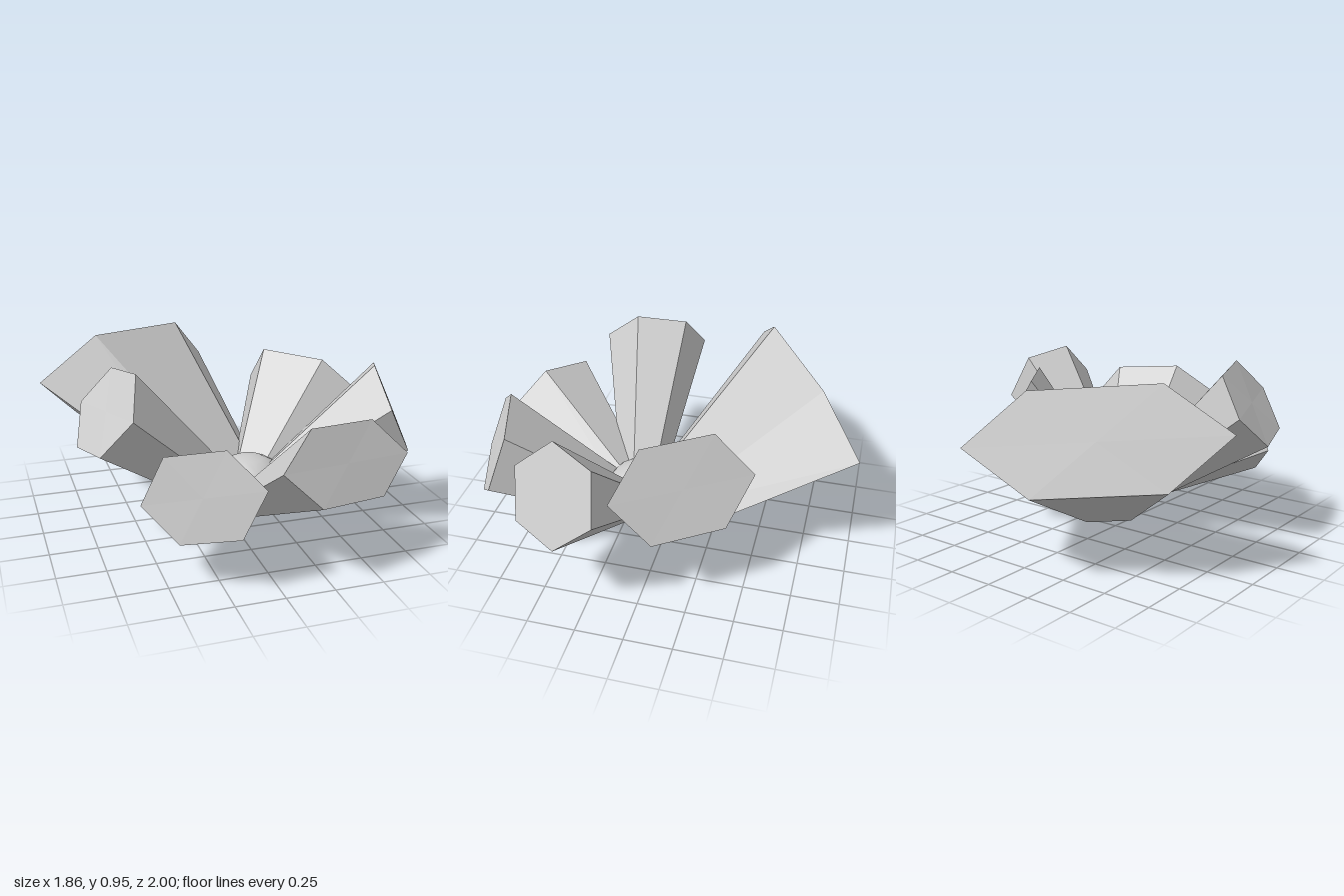
import * as THREE from 'three';

// Each petal is a tapered six-sided prism: centre of the outer end, three
// consecutive outer corners (the other three are opposite), centre of the inner end.
const petals = [
  { name: 'largeBackPetal', mid: [-0.39, 0.695, -0.665], root: [0.08, 0.107, 0.04],
    corners: [[0.15, 0.65, -1.0], [-0.06, 0.91, -0.77], [-0.6, 0.955, -0.43]], taper: 0.39 },
  { name: 'rightPetal', mid: [-0.68, 0.752, 0.272], root: [0.03, 0.14, 0.185],
    corners: [[-0.76, 0.725, 0.0], [-0.61, 0.915, 0.08], [-0.54, 0.95, 0.345]], taper: 0.37 },
  { name: 'frontRightPetal', mid: [-0.34, 0.47, 0.795], root: [0.05, 0.165, 0.2],
    corners: [[-0.6, 0.4, 0.64], [-0.49, 0.64, 0.66], [-0.23, 0.7, 0.81]], taper: 0.35 },
  { name: 'frontPetal', mid: [0.345, 0.59, 0.87], root: [0.09, 0.105, 0.17],
    corners: [[-0.02, 0.62, 0.975], [0.16, 0.775, 0.85], [0.52, 0.745, 0.74]], taper: 0.37 },
  { name: 'leftPetal', mid: [0.805, 0.67, 0.385], root: [0.17, 0.185, 0.18],
    corners: [[0.69, 0.73, 0.615], [0.685, 0.905, 0.41], [0.795, 0.85, 0.185]], taper: 0.37 },
  { name: 'backLeftPetal', mid: [0.555, 0.632, -0.19], root: [0.15, 0.175, 0.065],
    corners: [[0.335, 0.62, -0.505], [0.34, 0.835, -0.295], [0.565, 0.84, 0.025]], taper: 0.37 },
];

const vec = (a) => new THREE.Vector3(...a);

function petalGeometry({ mid, root, corners, taper }) {
  const m = vec(mid), r = vec(root);
  const half = corners.map((c) => vec(c).sub(m));
  let spokes = [...half, ...half.map((h) => h.clone().negate())];
  // Keep the corners counter-clockwise as seen from outside the outer end
  const turn = spokes[0].clone().cross(spokes[1]);
  if (turn.dot(m.clone().sub(r)) < 0) spokes.reverse();

  const outer = spokes.map((s) => s.clone().add(m));
  const inner = spokes.map((s) => s.clone().multiplyScalar(taper).add(r));
  const points = [];
  for (let i = 0; i < 6; i++) {
    const j = (i + 1) % 6;
    points.push(m, outer[i], outer[j]); // outer cap
    points.push(r, inner[j], inner[i]); // inner cap
    points.push(inner[i], inner[j], outer[j], inner[i], outer[j], outer[i]); // side
  }
  const geometry = new THREE.BufferGeometry().setFromPoints(points);
  geometry.computeVertexNormals();
  return geometry;
}

export function createModel() {
  const group = new THREE.Group();
  group.name = 'crystalFlower';

  const petalMaterial = new THREE.MeshStandardMaterial({ color: 0xcccccc, flatShading: true });
  for (const petal of petals) {
    const mesh = new THREE.Mesh(petalGeometry(petal), petalMaterial);
    mesh.name = petal.name;
    group.add(mesh);
  }

  // Smooth, slightly flattened core
  const core = new THREE.Mesh(
    new THREE.SphereGeometry(0.2, 12, 8),
    new THREE.MeshStandardMaterial({ color: 0xcccccc })
  );
  core.name = 'flowerCore';
  core.scale.y = 0.77;
  core.position.set(0.1, 0.23, 0.155);
  group.add(core);

  return group;
}
